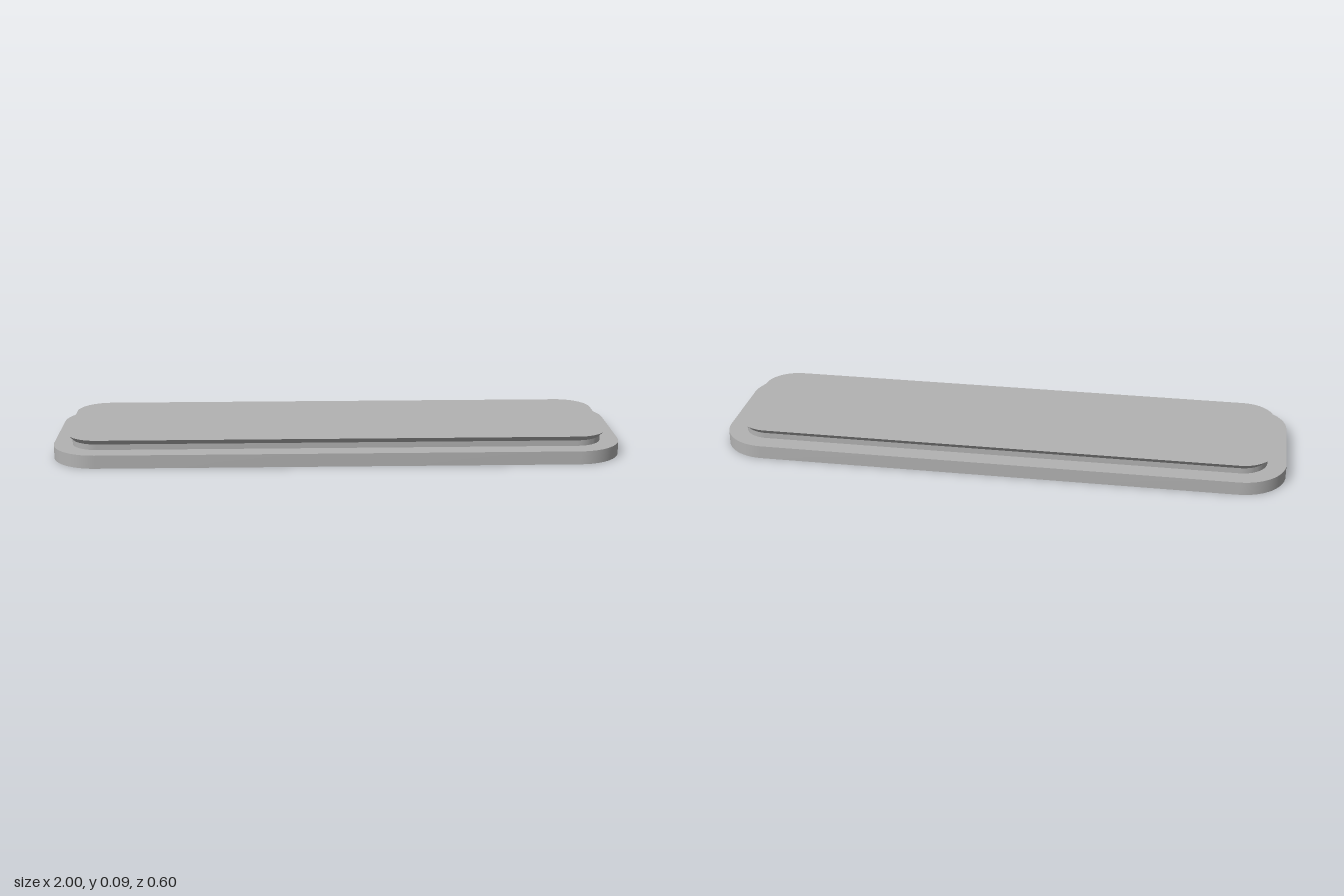
import * as THREE from 'three';
import { toCreasedNormals } from 'three/addons/utils/BufferGeometryUtils.js';

const SEGMENTS = 14;
const NOTCH_FRONT = 0.135, NOTCH_BACK = -0.073;

// Rounded rectangle in x/z; notch is how far the grip recess cuts into both ends.
function outline(halfX, halfZ, radius, notch) {
  const points = [];
  const corners = [[1, 1], [-1, 1], [-1, -1], [1, -1]];
  corners.forEach(([sx, sz], k) => {
    for (let i = 0; i <= SEGMENTS; i++) {
      const a = (k + i / SEGMENTS) * Math.PI / 2;
      points.push(new THREE.Vector2(
        sx * (halfX - radius) + radius * Math.cos(a),
        sz * (halfZ - radius) + radius * Math.sin(a)));
    }
    if (notch !== undefined && k % 2 === 1) {
      const first = sx < 0 ? NOTCH_FRONT : NOTCH_BACK;
      const last = sx < 0 ? NOTCH_BACK : NOTCH_FRONT;
      const outer = sx * halfX, inner = sx * (halfX - notch);
      points.push(
        new THREE.Vector2(outer, first), new THREE.Vector2(inner, first),
        new THREE.Vector2(inner, last), new THREE.Vector2(outer, last));
    }
  });
  return points;
}

// Joins stacked outlines into a closed solid with crisp edges.
function loft(rings) {
  const positions = [];
  const at = (ring, i) => {
    const p = ring.points[i % ring.points.length];
    return new THREE.Vector3(p.x, ring.y, p.y);
  };
  const add = (a, b, c) => {
    if (new THREE.Triangle(a, b, c).getArea() < 1e-8) return;
    for (const v of [a, b, c]) positions.push(v.x, v.y, v.z);
  };
  for (let r = 0; r < rings.length - 1; r++) {
    const low = rings[r], high = rings[r + 1];
    for (let i = 0; i < low.points.length; i++) {
      add(at(low, i), at(high, i), at(low, i + 1));
      add(at(low, i + 1), at(high, i), at(high, i + 1));
    }
  }
  const cap = (ring, direction) => {
    for (const face of THREE.ShapeUtils.triangulateShape(ring.points.slice(), [])) {
      const [a, b, c] = face.map((i) => at(ring, i));
      const normal = new THREE.Triangle(a, b, c).getNormal(new THREE.Vector3());
      if (normal.y * direction > 0) add(a, b, c);
      else add(a, c, b);
    }
  };
  cap(rings[0], -1);
  cap(rings[rings.length - 1], 1);
  const geometry = new THREE.BufferGeometry();
  geometry.setAttribute('position', new THREE.Float32BufferAttribute(positions, 3));
  return toCreasedNormals(geometry, 0.5);
}

export function createModel() {
  const group = new THREE.Group();
  group.name = 'dovetailPlate';
  const grey = new THREE.MeshStandardMaterial({ color: 0xb2b2b2 });
  grey.name = 'plain grey';

  const addPart = (name, rings) => {
    const mesh = new THREE.Mesh(loft(rings), grey);
    mesh.name = name;
    group.add(mesh);
  };

  // Base slab with a bevelled finger recess under each end
  const base = (y, notch) => ({ y, points: outline(1, 0.3, 0.16, notch) });
  addPart('base', [base(0, 0.014), base(0.003, 0.014), base(0.017, 0), base(0.047, 0)]);

  // Straight neck
  const neck = (y) => ({ y, points: outline(0.934, 0.233, 0.094) });
  addPart('neck', [neck(0.047), neck(0.067)]);

  // Lip that flares outward to the flat top
  addPart('flaredLip', [neck(0.067), { y: 0.086, points: outline(0.953, 0.252, 0.113) }]);

  return group;
}
